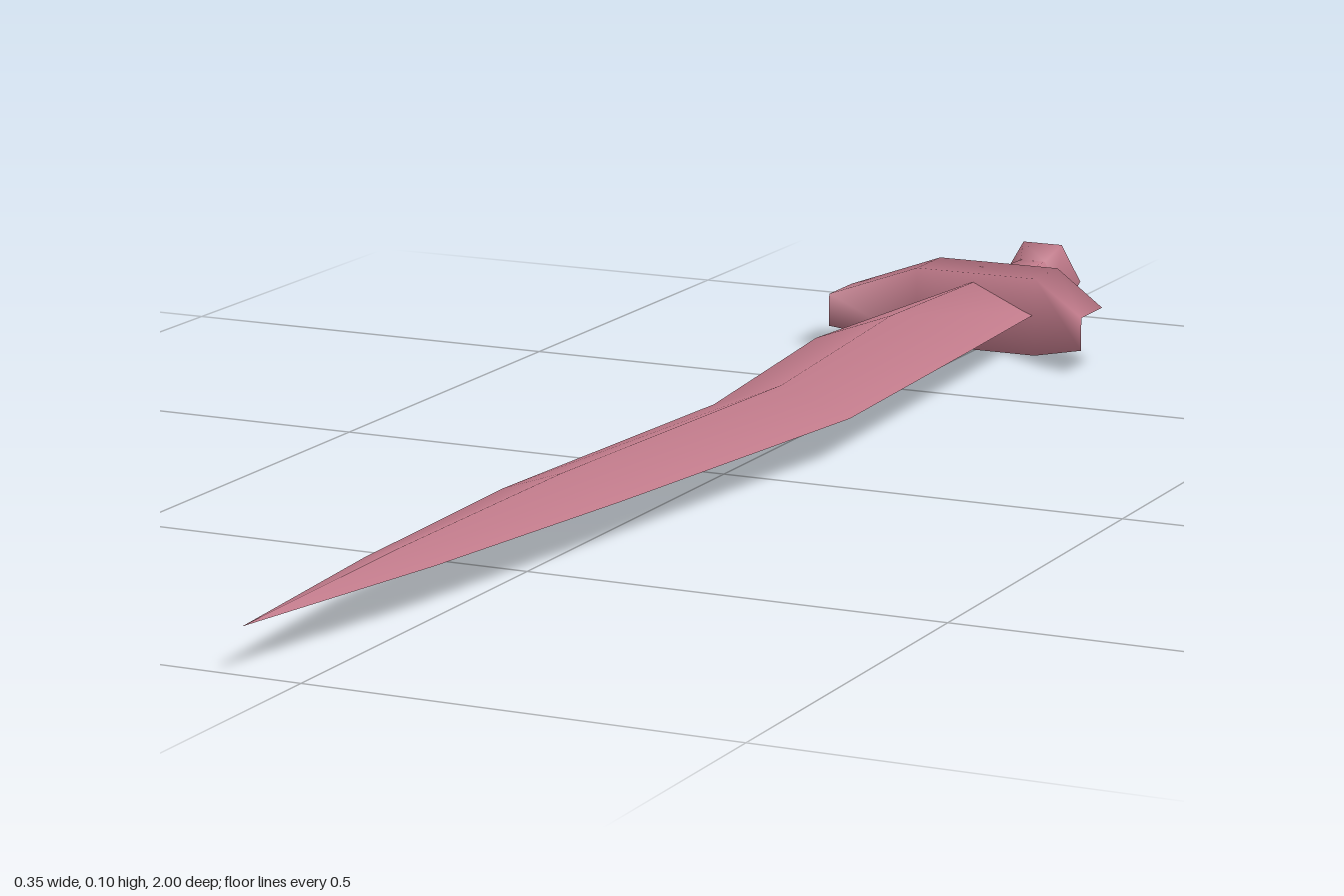
import * as THREE from 'three';

const MID = 0.052; // height of the sword's long axis

// Skin a strip through rows of points; (along rows) x (across row) points outward.
function loft(rows, closed = false) {
  const n = rows[0].length;
  const index = [];
  for (let i = 0; i < rows.length - 1; i++) {
    for (let j = 0; j < (closed ? n : n - 1); j++) {
      const k = (j + 1) % n;
      const a = i * n + j, b = i * n + k, c = a + n, d = b + n;
      index.push(a, c, b, b, c, d);
    }
  }
  const geometry = new THREE.BufferGeometry();
  geometry.setAttribute('position', new THREE.Float32BufferAttribute(rows.flat(2), 3));
  geometry.setIndex(index);
  geometry.computeVertexNormals();
  return geometry;
}

export function createModel() {
  const sword = new THREE.Group();
  sword.name = 'sword';
  const rose = new THREE.MeshStandardMaterial({ color: 0xc07a8a });
  rose.name = 'dusty rose';

  const add = (name, geometry, parent = sword) => {
    const mesh = new THREE.Mesh(geometry, rose);
    mesh.name = name;
    parent.add(mesh);
    return mesh;
  };

  // Wavy blade: z, left edge x, right edge x, half thickness at the ridge
  const stations = [
    [-0.78, -0.082, 0.077, 0.036],
    [-0.51, -0.115, 0.09, 0.038],
    [-0.12, -0.07, 0.107, 0.032],
    [0.36, -0.102, 0.045, 0.025],
    [0.7, -0.092, -0.007, 0.015],
    [1, -0.068, -0.068, 0],
  ];
  const blade = new THREE.Group();
  blade.name = 'blade';
  sword.add(blade);
  // Each side is smooth over its ridge, with sharp cutting edges between them
  for (const side of [1, -1]) {
    const rows = stations.map(([z, left, right, h]) => {
      const row = [[left, MID, z], [(left + right) / 2, MID + side * h, z], [right, MID, z]];
      return side > 0 ? row : row.reverse();
    });
    add(side > 0 ? 'bladeTop' : 'bladeUnderside', loft(rows), blade);
  }

  // Swept crossguard: x, front z, back z, half height
  const guard = new THREE.Group();
  guard.name = 'crossguard';
  sword.add(guard);
  const guardRows = [
    [-0.174, -0.68, -0.75, 0.021],
    [-0.082, -0.75, -0.825, 0.05],
    [0.082, -0.75, -0.825, 0.05],
    [0.174, -0.68, -0.75, 0.021],
  ].map(([x, front, back, h]) => [
    [x, 0.05 + h, front], [x, 0.05 + h, back], [x, 0.05 - h, back], [x, 0.05 - h, front],
  ]);
  add('guardBar', loft(guardRows, true), guard);
  // Flat end faces
  const [a, b, c, d] = guardRows[0];
  add('guardEndRight', loft([[a, b], [d, c]]), guard);
  const [e, f, g, h] = guardRows[3];
  add('guardEndLeft', loft([[f, e], [g, h]]), guard);

  // Six-sided grip and pommel, turned along the axis
  const turned = (name, profile) => {
    const points = profile.map(([r, y]) => new THREE.Vector2(r, y));
    const geometry = new THREE.LatheGeometry(points, 6, Math.PI / 2);
    geometry.rotateX(-Math.PI / 2);
    add(name, geometry).position.y = MID;
  };
  turned('grip', [[0.037, 0.79], [0.034, 0.945]]);
  turned('pommel', [[0.034, 0.94], [0.054, 0.974], [0.016, 0.998], [0, 1]]);

  return sword;
}
